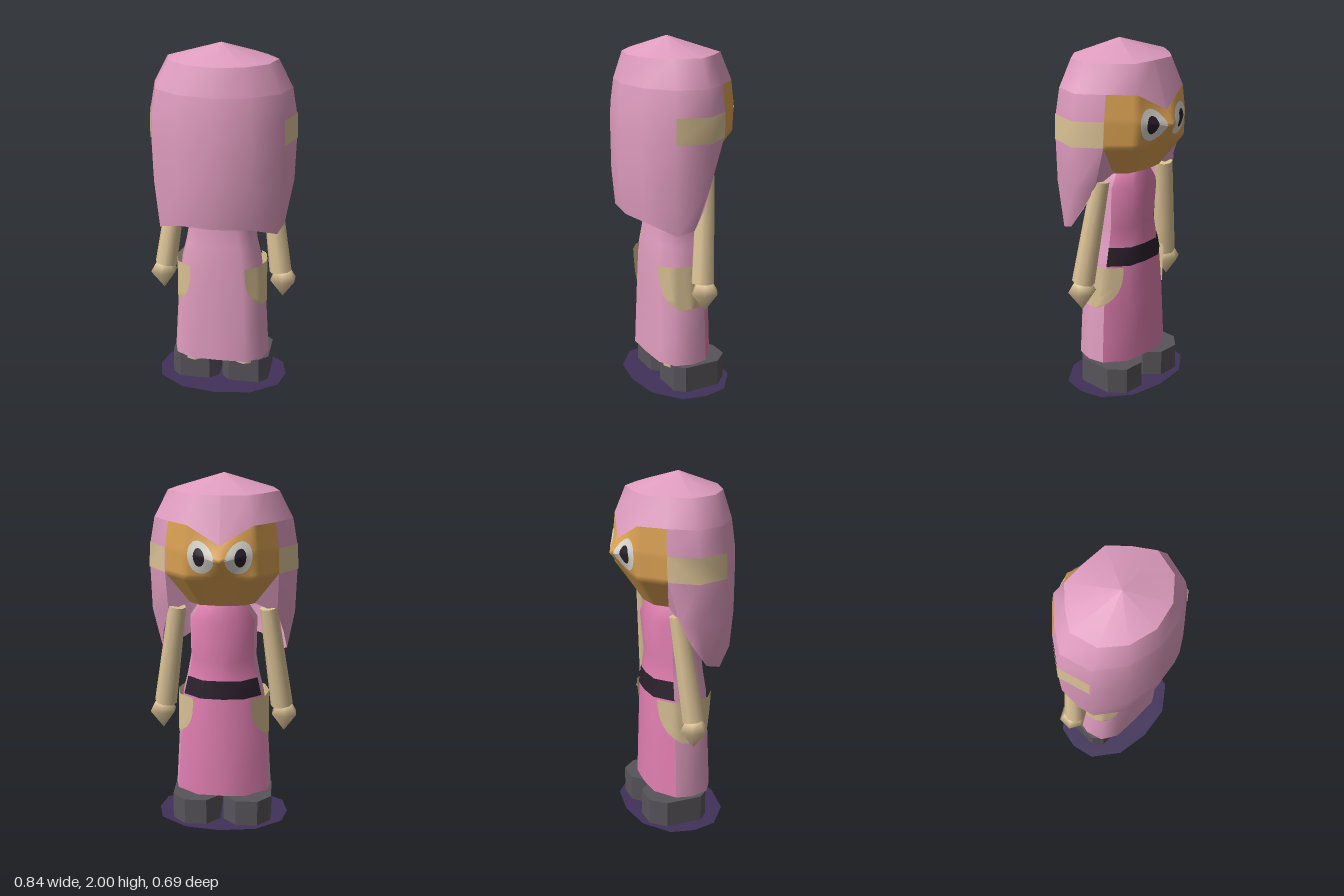
import * as THREE from 'three';

const paint = (name, color) =>
  new THREE.MeshStandardMaterial({ name, color, side: THREE.DoubleSide });

// Bilinear sampler over rings of half-outline points (column 0 = +z, last column = -z).
// Columns past the last, or below zero, are mirrored across x = 0.
function sampler(rings) {
  const last = rings[0].length - 1;
  const at = (row, col) => {
    let c = Math.abs(col), s = col < 0 ? -1 : 1;
    if (c > last) { c = 2 * last - c; s = -s; }
    const p = rings[row][c];
    return new THREE.Vector3(p[0] * s, p[1], p[2]);
  };
  return (u, v) => {
    const r = Math.min(Math.floor(v), rings.length - 2), c = Math.floor(u);
    const left = at(r, c).lerp(at(r + 1, c), v - r);
    if (u - c < 1e-6) return left;
    return left.lerp(at(r, c + 1).lerp(at(r + 1, c + 1), v - r), u - c);
  };
}

// Pushes a sampled point outward from the vertical axis
function push(p, d) {
  const l = Math.hypot(p.x, p.z) || 1;
  p.x += (p.x / l) * d;
  p.z += (p.z / l) * d;
  return p;
}

// Grid surface over a range of columns and rows
function patch(fn, u0, u1, v0, v1, nu, nv) {
  const pos = [], idx = [];
  for (let j = 0; j <= nv; j++) for (let i = 0; i <= nu; i++) {
    const p = fn(u0 + ((u1 - u0) * i) / nu, v0 + ((v1 - v0) * j) / nv);
    pos.push(p.x, p.y, p.z);
    if (i < nu && j < nv) {
      const a = j * (nu + 1) + i, b = a + 1, c = a + nu + 1, d = c + 1;
      idx.push(a, c, b, b, c, d);
    }
  }
  const g = new THREE.BufferGeometry();
  g.setAttribute('position', new THREE.Float32BufferAttribute(pos, 3));
  g.setIndex(idx);
  g.computeVertexNormals();
  return g;
}

export function createModel() {
  const model = new THREE.Group();
  model.name = 'figure';
  const hairPink = paint('hair pink', 0xe09dc0);
  const dressPink = paint('dress front pink', 0xe07fb0);
  const skin = paint('tan skin', 0xdbc296);
  const orange = paint('face orange', 0xd9a052);
  const black = paint('near black', 0x2a202c);
  const white = paint('eye white', 0xdcd8d0);
  const grey = paint('shoe grey', 0x58545a);
  const purple = paint('base purple', 0x41325a);

  const add = (name, geometry, material) => {
    const m = new THREE.Mesh(geometry, material);
    m.name = name;
    model.add(m);
    return m;
  };
  const addPair = (name, geometry, material) => {
    add(name + 'Left', geometry, material);
    add(name + 'Right', geometry, material).scale.x = -1;
  };

  // Head rings: width scale, back scale, front scale, centre front y and z
  const outline = [[0, 0.345], [0.205, 0.3], [0.36, 0.18], [0.41, 0], [0.31, -0.14], [0.19, -0.265]];
  const headRing = (y, sx, back, front, cy, cz) => [
    ...outline.map(([x, z]) => [x * sx, y, z * (z > 0 ? back : front)]), [0, cy, cz]];
  const headRings = [
    outline.concat([0]).map(() => [0, 2, 0.05]),
    headRing(1.91, 0.74, 0.82, 0.77, 1.91, -0.21),
    headRing(1.76, 0.93, 0.94, 0.96, 1.66, -0.3),
    headRing(1.62, 0.99, 0.99, 1, 1.585, -0.35),
    headRing(1.48, 1, 1, 0.97, 1.48, -0.27),
    headRing(1.24, 0.98, 1, 0.45, 1.24, -0.1),
    [[0, 1.03, 0.31], [0.2, 1.03, 0.28], [0.33, 0.97, 0.16], [0.36, 1.0, 0.07],
      [0.34, 1.12, -0.01], [0.2, 1.12, 0], [0, 1.12, 0]],
  ];
  const head = sampler(headRings);
  add('hairCrown', patch(head, -6, 6, 0, 1, 12, 1), hairPink);
  add('hairTop', patch(head, -6, 6, 1, 2, 12, 1), hairPink);
  add('hairCurtain', patch(head, -4, 4, 2, 6, 8, 4), hairPink);
  addPair('sideBand', patch((u, v) => push(head(u, v), 0.004), 2, 4, 3, 4, 2, 1), skin);

  // Face with a pointed centre, tapering to the chin
  const chin = [[0, 1.3, 0.3], [0.18, 1.3, 0.27], [0.33, 1.3, 0.16], [0.37, 1.3, 0],
    [0.18, 1.3, -0.08], [0.12, 1.3, -0.14], [0, 1.3, -0.16]];
  const face = sampler([...headRings.slice(2, 5), chin]);
  add('face', patch(face, 4, 8, 0, 3, 32, 24), orange);
  const jaw = sampler([
    [headRings[4][4], headRings[4][4]],
    [headRings[5][4], chin[4]],
  ]);
  addPair('jawHair', patch(jaw, 0, 1, 0, 1, 1, 1), hairPink);
  const underside = sampler([chin, chin.map(() => [0, 1.3, 0])]);
  add('headUnderside', patch(underside, -6, 6, 0, 1, 12, 1), hairPink);

  // Eyes wrapped onto the face as discs: angle across, radius down
  const disc = (u, v, ru, rv, lift) => patch((a, r) =>
    push(face(u + Math.cos(a) * r * ru, v + Math.sin(a) * r * rv), lift),
  0, Math.PI * 2, 0, 1, 20, 6);
  addPair('eyeWhite', disc(5.47, 1.05, 0.38, 0.74, 0.004), white);
  addPair('pupil', disc(5.43, 1.05, 0.16, 0.42, 0.008), black);

  // Dress rings: width scale, back scale, front scale
  const hem = [[0, 0.19], [0.16, 0.185], [0.25, 0.13], [0.28, 0.03], [0.26, -0.065], [0.14, -0.155], [0, -0.165]];
  const dress = sampler([
    [1.32, 0.4, 0.5, 0.72], [1.2, 0.68, 0.75, 0.93], [0.97, 0.67, 0.8, 0.8], [0.86, 0.74, 0.85, 0.86],
    [0.755, 0.83, 0.92, 0.92], [0.5, 0.93, 0.95, 0.95], [0.165, 1, 1, 1],
  ].map(([y, sx, back, front]) => hem.map(([x, z]) => [x * sx, y, z * (z > 0 ? back : front)])));
  add('dressBack', patch(dress, -4, 4, 0, 6, 8, 6), hairPink);
  add('dressFront', patch(dress, 4, 8, 0, 6, 4, 6), dressPink);
  add('belt', patch((u, v) => push(dress(u, v), 0.005), 4, 8, 3, 4, 4, 1), black);

  // Hip pockets, flared at the top and rounded below
  addPair('pocket', patch((s, t) => {
    const half = 1.85 * Math.sqrt(1 - 0.86 * t ** 3);
    return push(dress(2.9 + s * half, 4 + t), 0.026 * (1 - t) + 0.005);
  }, -1, 1, 0, 1, 16, 8), skin);

  // Arms and pointed hands
  const shoulder = new THREE.Vector3(0.255, 1.27, -0.055);
  const wrist = new THREE.Vector3(0.337, 0.68, 0.005);
  const dir = shoulder.clone().sub(wrist);
  const arm = new THREE.CylinderGeometry(0.05, 0.064, dir.length(), 8);
  arm.applyQuaternion(new THREE.Quaternion().setFromUnitVectors(
    new THREE.Vector3(0, 1, 0), dir.clone().normalize()));
  const mid = shoulder.clone().add(wrist).multiplyScalar(0.5);
  arm.translate(mid.x, mid.y, mid.z);
  addPair('arm', arm, skin);
  const hand = new THREE.LatheGeometry(
    [[0, 0.52], [0.08, 0.63], [0.05, 0.68], [0, 0.685]].map(([x, y]) => new THREE.Vector2(x, y)), 6);
  hand.translate(0.352, 0, 0);
  addPair('hand', hand, skin);

  // Ankles and blocky shoes with cut corners
  const ankle = new THREE.CylinderGeometry(0.06, 0.06, 0.2, 8);
  ankle.translate(0.147, 0.23, 0.09);
  addPair('ankle', ankle, skin);
  const sole = new THREE.Shape([
    [0.01, -0.08], [0.06, -0.13], [0.235, -0.13], [0.285, -0.08],
    [0.285, 0.13], [0.21, 0.21], [0.085, 0.21], [0.01, 0.13],
  ].map(([x, y]) => new THREE.Vector2(x, y)));
  const shoe = new THREE.ExtrudeGeometry(sole, { depth: 0.155, bevelEnabled: false });
  shoe.rotateX(-Math.PI / 2);
  addPair('shoe', shoe, grey);

  // Flat base
  const rim = [[0.38, 0], [0.35, 0.135], [0.2, 0.25], [0, 0.28], [-0.2, 0.25], [-0.35, 0.135],
    [-0.38, 0], [-0.35, -0.135], [-0.2, -0.25], [0, -0.28], [0.2, -0.25], [0.35, -0.135]];
  const base = new THREE.ShapeGeometry(new THREE.Shape(rim.map(([x, y]) => new THREE.Vector2(x, y))));
  base.rotateX(-Math.PI / 2);
  base.translate(0, 0.004, 0);
  add('base', base, purple);

  return model;
}
